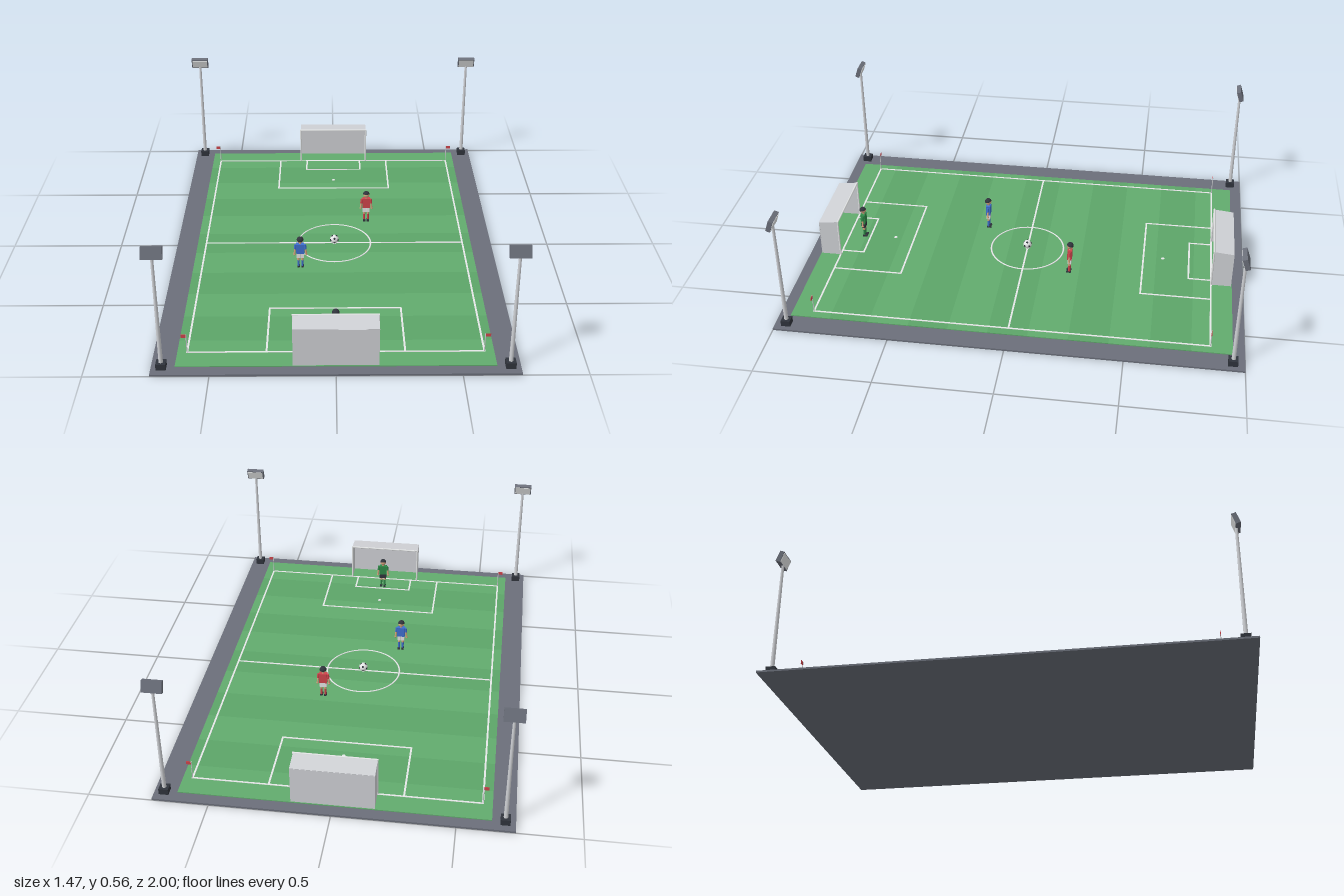
import * as THREE from 'three';

const mat = (name, color, extra = {}) => {
  const m = new THREE.MeshStandardMaterial({ color, ...extra });
  m.name = name;
  return m;
};

export function createModel() {
  const paving = mat('paving grey', 0x6b6f7a);
  const grassLight = mat('light grass', 0x62ab6e);
  const grassDark = mat('dark grass', 0x5ca568);
  const white = mat('white', 0xeef0f0);
  const paleGrey = mat('pale grey', 0xd0d2d6, { side: THREE.DoubleSide });
  const dark = mat('charcoal', 0x30343c);
  const red = mat('red', 0xd0444c, { side: THREE.DoubleSide });
  const blue = mat('blue', 0x3f6fd0);
  const keeperGreen = mat('keeper green', 0x2f8a48);
  const skin = mat('skin', 0xd9a580);

  const add = (parent, name, geo, material, x = 0, y = 0, z = 0) => {
    const m = new THREE.Mesh(geo, material);
    m.name = name;
    m.position.set(x, y, z);
    parent.add(m);
    return m;
  };
  const box = (parent, name, material, w, h, d, x, y, z) =>
    add(parent, name, new THREE.BoxGeometry(w, h, d), material, x, y, z);
  const cyl = (parent, name, material, rTop, rBot, h, x, y, z, n = 12) =>
    add(parent, name, new THREE.CylinderGeometry(rTop, rBot, h, n), material, x, y, z);

  const model = new THREE.Group();
  model.name = 'footballPitch';

  // Ground slab and mown stripes
  box(model, 'groundSlab', paving, 1.47, 0.008, 2, 0, 0.004, 0);
  const stripes = 11, stripeDepth = 1.9 / stripes;
  for (let i = 0; i < stripes; i++) {
    box(model, 'grassStripe', i % 2 ? grassDark : grassLight, 1.28, 0.006, stripeDepth,
      0, 0.009, -0.95 + stripeDepth * (i + 0.5));
  }

  // Painted lines
  const lineW = 0.008, lineY = 0.0128;
  const lineX = (parent, halfW, z) => box(parent, 'line', white, halfW * 2 + lineW, 0.0016, lineW, 0, lineY, z);
  const lineZ = (parent, x, z0, z1) =>
    box(parent, 'line', white, lineW, 0.0016, z1 - z0, x, lineY, (z0 + z1) / 2);
  lineX(model, 0.6, 0);
  for (const s of [-1, 1]) lineZ(model, s * 0.6, -0.857, 0.857);
  const circle = add(model, 'centreCircle', new THREE.TorusGeometry(0.17, 0.004, 6, 48), white, 0, 0.0125, 0);
  circle.rotation.x = Math.PI / 2;
  circle.scale.z = 0.5;
  cyl(model, 'centreSpot', white, 0.01, 0.01, 0.0016, 0, lineY, 0, 16);

  // Everything at one end of the pitch, built at +z
  const buildEnd = () => {
    const end = new THREE.Group();
    end.name = 'pitchEnd';

    lineX(end, 0.6, 0.857);
    for (const [halfW, z] of [[0.28, 0.545], [0.14, 0.755]]) {
      lineX(end, halfW, z);
      for (const s of [-1, 1]) lineZ(end, s * halfW, z, 0.857);
    }
    cyl(end, 'penaltySpot', white, 0.008, 0.008, 0.0016, 0, lineY, 0.635, 16);

    // Goal: frame, with solid net panels sloping down to the back
    const goal = new THREE.Group();
    goal.name = 'goal';
    end.add(goal);
    const side = new THREE.Shape([[0.857, 0.012], [0.945, 0.012], [0.945, 0.182], [0.857, 0.191]]
      .map(([z, y]) => new THREE.Vector2(z, y)));
    for (const s of [-1, 1]) {
      const net = add(goal, 'sideNet', new THREE.ShapeGeometry(side), paleGrey, s * 0.171, 0, 0);
      net.rotation.y = -Math.PI / 2;
      cyl(goal, 'goalPost', white, 0.004, 0.004, 0.18, s * 0.171, 0.102, 0.857, 8);
    }
    const bar = cyl(goal, 'crossbar', white, 0.004, 0.004, 0.35, 0, 0.192, 0.857, 8);
    bar.rotation.z = Math.PI / 2;
    box(goal, 'backNet', paleGrey, 0.344, 0.17, 0.003, 0, 0.097, 0.945);
    const roof = box(goal, 'roofNet', paleGrey, 0.344, 0.003, 0.09, 0, 0.187, 0.901);
    roof.rotation.x = Math.atan2(0.009, 0.088);

    for (const s of [-1, 1]) {
      // Corner flag
      cyl(end, 'flagPole', paleGrey, 0.002, 0.002, 0.088, s * 0.6, 0.055, 0.857, 8);
      box(end, 'cornerFlag', red, 0.022, 0.015, 0.002, s * 0.611, 0.091, 0.857);

      // Floodlight
      const light = new THREE.Group();
      light.name = 'floodlight';
      light.position.set(s * 0.693, 0, 0.95);
      end.add(light);
      box(light, 'lightBase', dark, 0.04, 0.026, 0.04, 0, 0.021, 0);
      cyl(light, 'lightPole', paleGrey, 0.006, 0.009, 0.49, 0, 0.275, 0);
      const head = new THREE.Group();
      head.name = 'lampHead';
      head.position.set(0, 0.538, 0);
      head.rotation.x = -0.33;
      light.add(head);
      box(head, 'lampCase', paving, 0.083, 0.05, 0.02, 0, 0, 0);
      box(head, 'lampFace', white, 0.075, 0.042, 0.003, 0, 0, -0.0105);
    }
    return end;
  };
  const nearEnd = buildEnd(), farEnd = buildEnd();
  farEnd.rotation.y = Math.PI;
  model.add(nearEnd, farEnd);

  // Ball with dark patches at the corners of an icosahedron
  const ball = new THREE.Group();
  ball.name = 'ball';
  ball.position.set(0, 0.033, 0);
  model.add(ball);
  add(ball, 'ballSkin', new THREE.SphereGeometry(0.02, 20, 14), white);
  const phi = (1 + Math.sqrt(5)) / 2;
  for (const a of [-1, 1]) for (const b of [-phi, phi]) {
    for (const c of [[0, a, b], [a, b, 0], [b, 0, a]]) {
      const dir = new THREE.Vector3(...c).normalize();
      const patch = add(ball, 'ballPatch', new THREE.CircleGeometry(0.006, 5), dark);
      patch.position.copy(dir).multiplyScalar(0.0201);
      patch.lookAt(dir.clone().multiplyScalar(2));
    }
  }

  // Players, built facing +z
  const addPlayer = (name, kit, shorts, x, z, turn) => {
    const p = new THREE.Group();
    p.name = name;
    p.position.set(x, 0.012, z);
    p.rotation.y = turn;
    model.add(p);
    for (const s of [-1, 1]) {
      box(p, 'boot', dark, 0.011, 0.007, 0.021, s * 0.009, 0.0035, 0.003);
      cyl(p, 'sock', kit, 0.0055, 0.005, 0.032, s * 0.009, 0.022, 0, 10);
      cyl(p, 'thigh', skin, 0.006, 0.0055, 0.016, s * 0.009, 0.045, 0, 10);
      box(p, 'shortsLeg', shorts, 0.016, 0.024, 0.017, s * 0.0085, 0.062, 0);
      const arm = new THREE.Group();
      arm.name = 'arm';
      arm.position.set(s * 0.021, 0.115, 0);
      arm.rotation.z = s * 0.12;
      p.add(arm);
      cyl(arm, 'sleeve', kit, 0.0055, 0.006, 0.022, 0, -0.009, 0, 10);
      cyl(arm, 'forearm', skin, 0.0045, 0.004, 0.028, 0, -0.033, 0, 10);
      add(arm, 'hand', new THREE.SphereGeometry(0.0052, 10, 8), skin, 0, -0.049, 0);
    }
    box(p, 'shirt', kit, 0.036, 0.048, 0.02, 0, 0.097, 0);
    cyl(p, 'neck', skin, 0.005, 0.005, 0.012, 0, 0.125, 0, 10);
    add(p, 'head', new THREE.SphereGeometry(0.0145, 16, 12), skin, 0, 0.141, 0);
    const hair = add(p, 'hair',
      new THREE.SphereGeometry(0.0155, 16, 8, 0, Math.PI * 2, 0, Math.PI * 0.5), dark, 0, 0.1425, -0.001);
    hair.rotation.x = -0.25;
  };
  addPlayer('redPlayer', red, white, 0.155, -0.215, 0);
  addPlayer('bluePlayer', blue, white, -0.155, 0.21, Math.PI);
  addPlayer('goalkeeper', keeperGreen, dark, 0, 0.785, Math.PI);

  return model;
}
